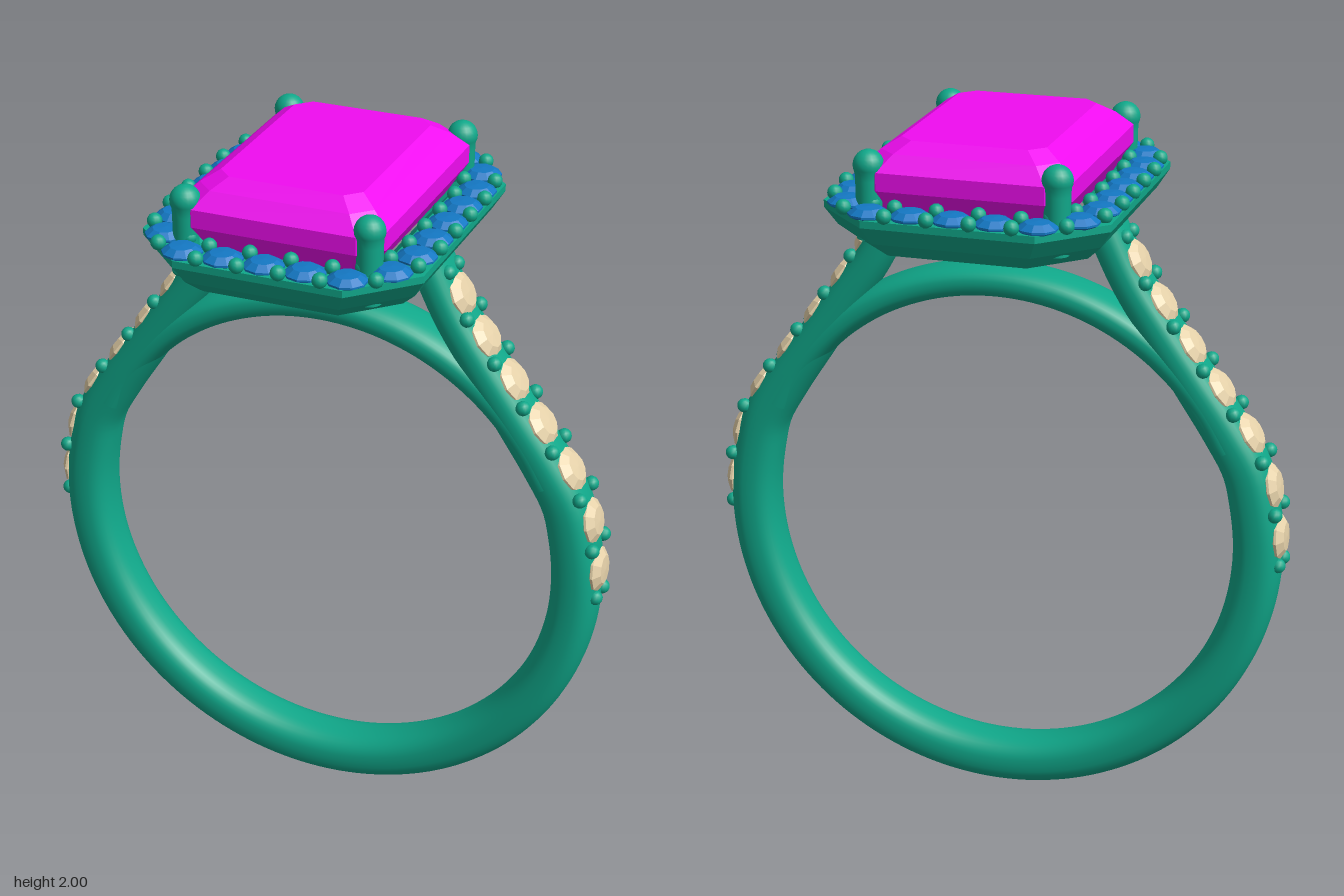
import * as THREE from 'three';

const metal = new THREE.MeshStandardMaterial({ color: 0x10a88a });
const metalFlat = new THREE.MeshStandardMaterial({ color: 0x10a88a, flatShading: true });
const magenta = new THREE.MeshStandardMaterial({ color: 0xf00cf0, flatShading: true });
const blue = new THREE.MeshStandardMaterial({ color: 0x1478c4, flatShading: true });
const cream = new THREE.MeshStandardMaterial({ color: 0xe6d2aa, flatShading: true });

const CENTRE_Y = 0.82, HALF_WIDTH = 0.08;

function buildGeometry(positions, index) {
  const g = new THREE.BufferGeometry();
  g.setAttribute('position', new THREE.Float32BufferAttribute(positions, 3));
  g.setIndex(index);
  g.computeVertexNormals();
  return g;
}

// Joins rows of points into a skin; each row is a closed loop
function skin(rows, flip) {
  const n = rows[0].length, index = [];
  for (let i = 0; i < rows.length - 1; i++) {
    for (let j = 0; j < n; j++) {
      const a = i * n + j, b = i * n + (j + 1) % n, c = a + n, d = b + n;
      if (flip) index.push(a, b, c, b, d, c);
      else index.push(a, c, b, b, c, d);
    }
  }
  return buildGeometry(rows.flat(2), index);
}

// Rectangle with cut corners at height y
function cutRect([y, hx, hz, c]) {
  return [
    [hx, y, hz - c], [hx - c, y, hz], [c - hx, y, hz], [-hx, y, hz - c],
    [-hx, y, c - hz], [c - hx, y, -hz], [hx - c, y, -hz], [hx, y, c - hz],
  ];
}
const loft = (levels) => skin(levels.map(cutRect));

// Point and outward normal on a path in the xy plane
function frameAt(curve, u) {
  const p = curve.getPointAt(u), t = curve.getTangentAt(u);
  return { p, n: new THREE.Vector3(t.y, -t.x, 0) };
}

// Sweeps a softened oval section along a path; half(u) is the half thickness
function sweepBand(curve, half, steps) {
  const rows = [], sides = 32, e = 2 / 2.5;
  const soft = (v) => Math.sign(v) * Math.abs(v) ** e;
  for (let i = 0; i <= steps; i++) {
    const u = i / steps, { p, n } = frameAt(curve, u), h = half(u);
    const row = [];
    for (let j = 0; j < sides; j++) {
      const a = j / sides * Math.PI * 2, r = h * soft(Math.cos(a));
      row.push([p.x + n.x * r, p.y + n.y * r, HALF_WIDTH * soft(Math.sin(a))]);
    }
    rows.push(row);
  }
  return skin(rows);
}

function arcPoints(radius, from, to, count) {
  return Array.from({ length: count + 1 }, (_, i) => {
    const a = THREE.MathUtils.degToRad(from + (to - from) * i / count);
    return new THREE.Vector3(radius * Math.cos(a), CENTRE_Y + radius * Math.sin(a), 0);
  });
}

// Small round faceted stone, table facing +y
function stoneGeometry(r) {
  const profile = [[0, -0.6], [1, -0.06], [1, 0.04], [0.62, 0.3], [0, 0.34]];
  return new THREE.LatheGeometry(profile.map(([x, y]) => new THREE.Vector2(x * r, y * r)), 10);
}

function add(parent, name, geometry, material, pos) {
  const mesh = new THREE.Mesh(geometry, material);
  mesh.name = name;
  if (pos) mesh.position.set(...pos);
  parent.add(mesh);
  return mesh;
}

function addGroup(parent, name) {
  const g = new THREE.Group();
  g.name = name;
  parent.add(g);
  return g;
}

export function createModel() {
  const ring = new THREE.Group();
  ring.name = 'ring';
  const bead = new THREE.SphereGeometry(0.021, 12, 8);
  const up = new THREE.Vector3(0, 1, 0);

  // Shank: round below, rising into straight shoulders
  const shoulder = [[0.71, 1.07], [0.645, 1.18], [0.562, 1.3], [0.46, 1.448], [0.37, 1.585], [0.29, 1.75]];
  const right = shoulder.map(([x, y]) => new THREE.Vector3(x, y, 0));
  const left = right.map((p) => new THREE.Vector3(-p.x, p.y, 0)).reverse();
  const shankPath = new THREE.CatmullRomCurve3([...left, ...arcPoints(0.7515, -192, 12, 24), ...right]);
  const shankHalf = (u) => 0.0685 - 0.017 * THREE.MathUtils.smoothstep(Math.abs(u - 0.5), 0.28, 0.48);
  add(ring, 'shank', sweepBand(shankPath, shankHalf, 160), metal);

  // Bridge closing the finger hole below the setting
  const bridgePath = new THREE.CatmullRomCurve3(arcPoints(0.73, 155, 25, 16).reverse());
  add(ring, 'bridge', sweepBand(new THREE.CatmullRomCurve3(bridgePath.points.reverse()), () => -0.045, 60), metal)
    .geometry.index.array.reverse();
  ring.getObjectByName('bridge').geometry.computeVertexNormals();

  // Shoulder stones, with bead pairs between them
  const uAtHeight = (y) => {
    let lo = 0.5, hi = 1;
    for (let i = 0; i < 24; i++) {
      const mid = (lo + hi) / 2;
      if (shankPath.getPointAt(mid).y < y) lo = mid; else hi = mid;
    }
    return lo;
  };
  const sideStone = stoneGeometry(0.066);
  for (const side of [1, -1]) {
    const row = addGroup(ring, side > 0 ? 'leftShoulderStones' : 'rightShoulderStones');
    const place = (name, geometry, material, y, z, lift) => {
      const u = uAtHeight(y), { p, n } = frameAt(shankPath, u);
      p.addScaledVector(n, shankHalf(u) + lift);
      const m = add(row, name, geometry, material, [p.x * side, p.y, z]);
      m.quaternion.setFromUnitVectors(up, n.setX(n.x * side));
    };
    for (const y of [0.88, 1.02, 1.15, 1.273, 1.392, 1.51, 1.63]) {
      place('shoulderStone', sideStone, cream, y - 0.01, 0, -0.008);
    }
    [0.8, 0.945, 1.08, 1.205, 1.325, 1.445, 1.565, 1.69].forEach((y, i) => {
      const z = i === 0 || i === 7 ? 0.033 : 0.053;
      for (const s of [1, -1]) place('shoulderBead', bead, metal, y, z * s, -0.004);
    });
  }

  // Halo frame: hollow cut-corner tray
  const inner = [1.715, 0.18, 0.26, 0.04];
  add(ring, 'haloFrame', loft([
    inner, [1.715, 0.32, 0.395, 0.13], [1.76, 0.365, 0.45, 0.15], [1.81, 0.396, 0.48, 0.16],
    [1.83, 0.396, 0.48, 0.16], [1.83, 0.28, 0.365, 0.06], inner,
  ]), metalFlat);

  // Halo stones in a loop, with beads on both edges between neighbours
  const halo = addGroup(ring, 'halo');
  const spots = [];
  const quarterTurns = [[1, -1], [1, 1], [-1, 1], [-1, -1]];
  const along = [-0.23, -0.115, 0, 0.115, 0.23];
  quarterTurns.forEach(([sx, sz], i) => {
    spots.push([sx * 0.318, sz * 0.345]);
    for (const t of along) {
      if (i === 0) spots.push([0.343, t]);
      if (i === 1) spots.push([-t, 0.43]);
      if (i === 2) spots.push([-0.343, -t]);
      if (i === 3) spots.push([t, -0.43]);
    }
  });
  const haloStone = stoneGeometry(0.055);
  spots.forEach(([x, z], i) => {
    add(halo, 'haloStone', haloStone, blue, [x, 1.838, z]);
    const [x2, z2] = spots[(i + 1) % spots.length];
    const dx = x2 - x, dz = z2 - z, len = Math.hypot(dx, dz);
    for (const s of [0.043, -0.043]) {
      add(halo, 'haloBead', bead, metal, [(x + x2) / 2 + dz / len * s, 1.845, (z + z2) / 2 - dx / len * s]);
    }
  });

  // Step-cut centre stone with a keel below
  add(ring, 'centreStone', loft([
    [1.635, 0, 0.08, 0], [1.715, 0.13, 0.22, 0.03], [1.80, 0.24, 0.325, 0.05], [1.88, 0.29, 0.373, 0.06],
    [1.93, 0.29, 0.373, 0.06], [1.972, 0.245, 0.33, 0.05], [2, 0.2, 0.285, 0.04], [2, 0, 0, 0],
  ]), magenta);

  // Four corner prongs with rounded tips
  const prongProfile = [new THREE.Vector2(0.034, 0), new THREE.Vector2(0.036, 0.16)];
  for (let i = 0; i <= 8; i++) {
    const a = -0.5 + (Math.PI / 2 + 0.5) * i / 8;
    prongProfile.push(new THREE.Vector2(0.042 * Math.cos(a), 0.199 + 0.042 * Math.sin(a)));
  }
  const prong = new THREE.LatheGeometry(prongProfile, 20);
  for (const [sx, sz] of quarterTurns) add(ring, 'prong', prong, metal, [sx * 0.258, 1.744, sz * 0.345]);

  return ring;
}
